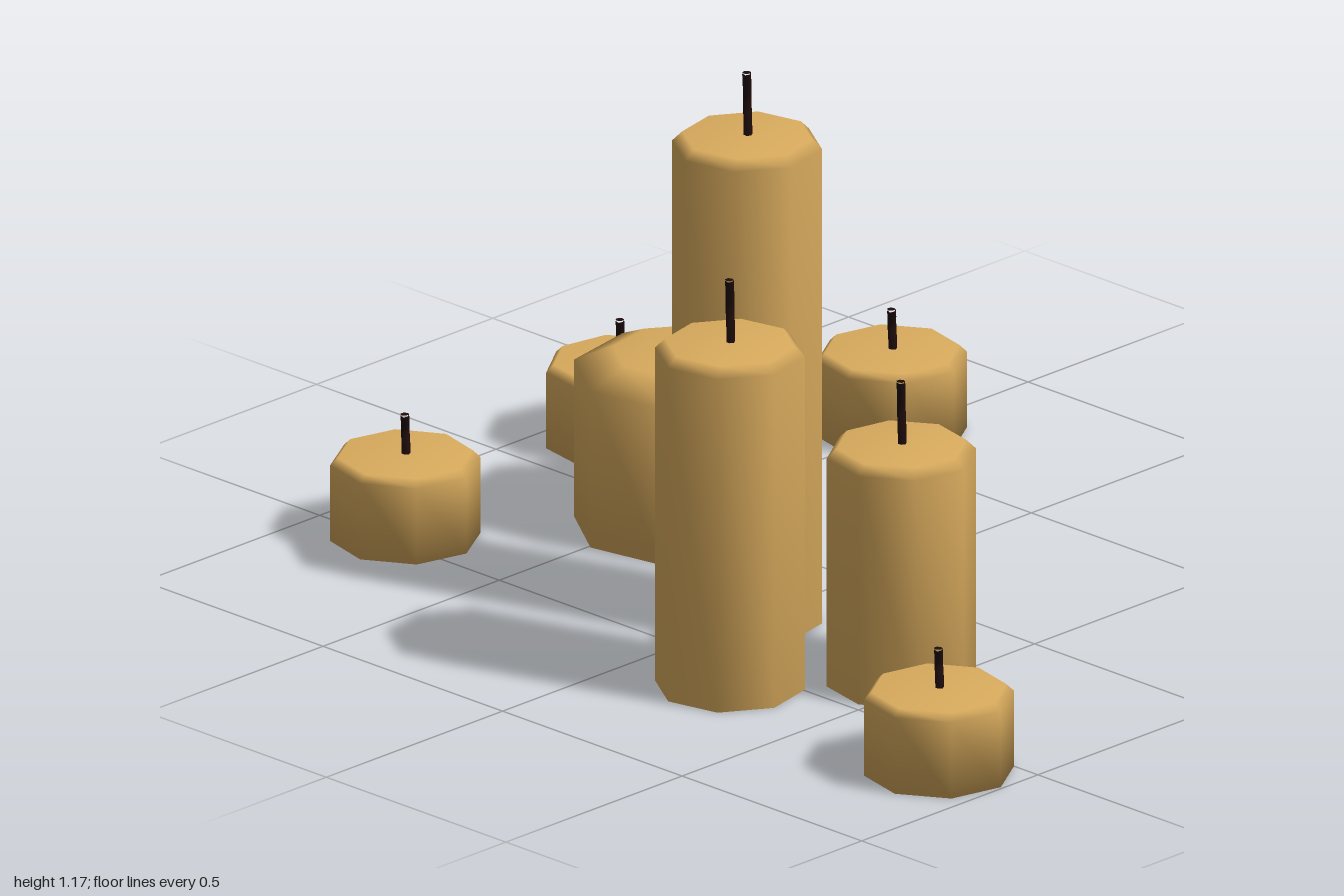
import * as THREE from 'three';

const wax = new THREE.MeshStandardMaterial({ color: 0xdaac5e });
wax.name = 'honey wax';
const char = new THREE.MeshStandardMaterial({ color: 0x1e0c0b });
char.name = 'charred wick';

// Eight-sided solid of wax with a bevelled shoulder
function waxBody(radius, height, inset, drop) {
  const profile = [
    [0, 0], [radius, 0], [radius, height - drop], [radius - inset, height], [0, height],
  ].map(([x, y]) => new THREE.Vector2(x, y));
  return new THREE.LatheGeometry(profile, 8);
}

// Thin bent wick, sunk slightly into the wax and closed at the tip
function wickParts(height) {
  const path = new THREE.CatmullRomCurve3([
    new THREE.Vector3(0.004, -0.01, -0.002),
    new THREE.Vector3(0.007, height * 0.2, -0.005),
    new THREE.Vector3(0.013, height * 0.5, -0.013),
    new THREE.Vector3(0.008, height * 0.75, -0.008),
    new THREE.Vector3(-0.002, height, 0),
  ]);
  const stem = new THREE.Mesh(new THREE.TubeGeometry(path, 8, 0.009, 6), char);
  stem.name = 'wickStem';
  const tip = new THREE.Mesh(new THREE.CircleGeometry(0.009, 6), char);
  tip.name = 'wickTip';
  tip.position.copy(path.getPoint(1));
  tip.rotation.x = -Math.PI / 2;
  const wick = new THREE.Group();
  wick.name = 'wick';
  wick.add(stem, tip);
  return wick;
}

// turn: degrees from +x towards +z of the first corner
function candle({ name, x, z, height, turn, radius = 0.151, inset = 0.02, drop = 0.02, wick = 0.135 }) {
  const group = new THREE.Group();
  group.name = name;
  group.position.set(x, 0, z);
  const body = new THREE.Mesh(waxBody(radius, height, inset, drop), wax);
  body.name = 'waxBody';
  body.rotation.y = -THREE.MathUtils.degToRad(turn);
  const thread = wickParts(wick);
  thread.position.y = height;
  group.add(body, thread);
  return group;
}

export function createModel() {
  const model = new THREE.Group();
  model.name = 'candleCluster';

  // Pillar candles and the wide, sloping-shouldered one
  const pillars = [
    { name: 'tallPillar', x: -0.303, z: -0.003, height: 1.033, turn: 10 },
    { name: 'middlePillar', x: -0.583, z: 0.224, height: 0.732, turn: 10 },
    { name: 'shortPillar', x: -0.33, z: 0.453, height: 0.507, turn: -10 },
    { name: 'wideCandle', x: -0.025, z: -0.447, height: 0.37, turn: 12,
      radius: 0.227, inset: 0.08, drop: 0.036 },
  ];
  pillars.forEach((p) => model.add(candle(p)));

  // Four low candles scattered round the cluster
  const low = [
    ['lowCandleFront', -0.623, 0.845, -9],
    ['lowCandleBackRight', -0.464, -0.797, -8],
    ['lowCandleBack', 0.2, -0.85, -12],
    ['lowCandleLeft', 0.618, -0.504, -9],
  ];
  low.forEach(([name, x, z, turn]) =>
    model.add(candle({ name, x, z, turn, height: 0.177, inset: 0.015, drop: 0.015, wick: 0.086 })));

  return model;
}
